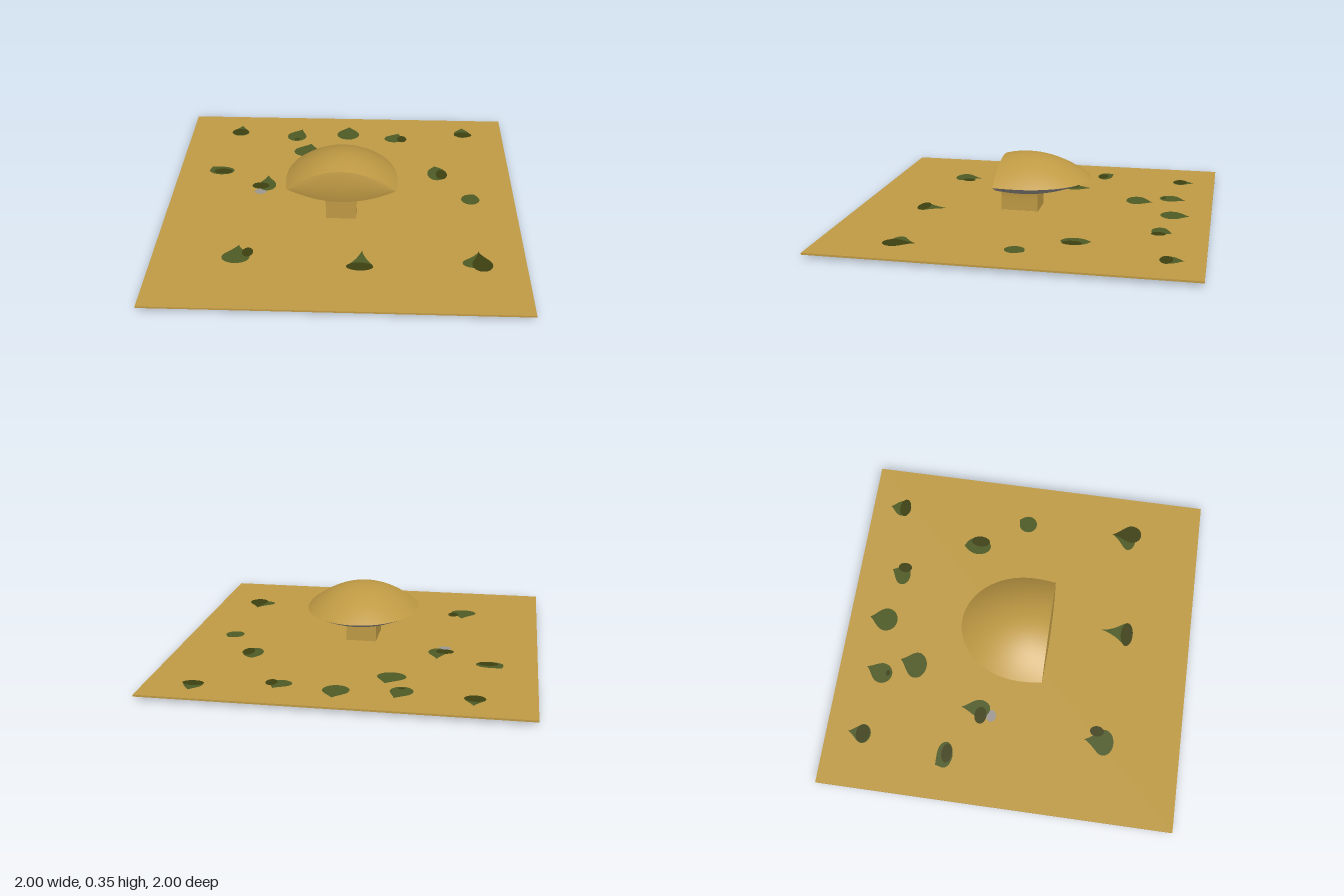
import * as THREE from 'three';
import { RoundedBoxGeometry } from 'three/addons/geometries/RoundedBoxGeometry.js';

function material(name, color) {
  const m = new THREE.MeshStandardMaterial({ color });
  m.name = name;
  return m;
}

// Bends a grid into a surface; place(u, v) gives [x, y, z] for u, v in 0..1
function surface(place, cols = 40, rows = 28) {
  const geo = new THREE.PlaneGeometry(1, 1, cols, rows);
  const p = geo.attributes.position;
  for (let i = 0; i < p.count; i++) p.setXYZ(i, ...place(p.getX(i) + 0.5, p.getY(i) + 0.5));
  geo.computeVertexNormals();
  return geo;
}

// Flat blob: an ellipse with an optional pull towards a tip
function blob(cx, cz, rx, rz, tx, tz) {
  const pts = [];
  const tipAngle = tx === undefined ? 0 : Math.atan2((tz - cz) / rz, (tx - cx) / rx);
  for (let k = 0; k < 40; k++) {
    const a = (k / 40) * Math.PI * 2 + tipAngle;
    let x = cx + rx * Math.cos(a), z = cz + rz * Math.sin(a);
    if (tx !== undefined) {
      const pull = Math.max(0, Math.cos(a - tipAngle)) ** 6;
      x += (tx - x) * pull;
      z += (tz - z) * pull;
    }
    pts.push(new THREE.Vector2(x, -z));
  }
  return new THREE.ShapeGeometry(new THREE.Shape(pts)).rotateX(-Math.PI / 2);
}

export function createModel() {
  const model = new THREE.Group();
  const sand = material('sand', 0xbf9a44);
  const grey = material('stone grey', 0x9c9691);
  const green = material('leaf green', 0x4e5a24);
  const darkGreen = material('dark green', 0x3d4010);

  const add = (name, geo, mat, y = 0, parent = model) => {
    const mesh = new THREE.Mesh(geo, mat);
    mesh.name = name;
    mesh.position.y = y;
    parent.add(mesh);
    return mesh;
  };

  // Ground plate
  add('ground', new THREE.BoxGeometry(2, 0.01, 2), sand, 0.023);

  // Stem, flaring a little where it meets the cap, with a low foot
  const stem = new THREE.BoxGeometry(0.17, 0.15, 0.21, 1, 8, 1);
  const p = stem.attributes.position;
  for (let i = 0; i < p.count; i++) {
    const t = p.getY(i) / 0.15 + 0.5;
    p.setX(i, p.getX(i) * (1 + 0.12 * t ** 6));
  }
  stem.computeVertexNormals();
  add('stem', stem, sand, 0.085).position.z = 0.075;
  add('stemFoot', new RoundedBoxGeometry(0.185, 0.03, 0.22, 3, 0.012), sand, 0.015).position.z = 0.075;

  // Cap: a lens with a rounded back, sliced flat at the front
  const rimY = 0.217, frontZ = 0.18, backZ = -0.32, midZ = 0.05;
  const rise = (z) => 1 - ((z - midZ) / 0.37) ** 2;
  const halfWidth = (z) => 0.315 * Math.sqrt(Math.max(0, z > midZ ? 1 - (1 - rise(z)) / 2 : rise(z)));
  const capPoint = (s, z, height) => [s * halfWidth(z), rimY + height * rise(z) * (1 - s * s), z];
  const zAt = (t) => backZ + (frontZ - backZ) * t * t; // finer slices towards the back
  const top = 0.134, bottom = -0.09;

  const cap = new THREE.Group();
  cap.name = 'cap';
  model.add(cap);
  add('capTop', surface((u, v) => capPoint(2 * u - 1, zAt(1 - v), top)), sand, 0, cap);
  add('capUnderside', surface((u, v) => capPoint(2 * u - 1, zAt(v), bottom)), grey, 0, cap);
  add('capFront', surface((u, v) => {
    const s = 2 * u - 1;
    const [x, y] = capPoint(s, frontZ, bottom + (top - bottom) * v);
    return [x, y, frontZ + 0.04 * v * (1 - v) * (1 - s * s)];
  }), sand, 0, cap);

  // Plant patches on the ground: light leaf with an optional dark lobe
  const patches = new THREE.Group();
  patches.name = 'patches';
  model.add(patches);
  const patch = (leaf, lobe) => {
    add('leafPatch', blob(...leaf), green, 0.0295, patches);
    if (lobe) add('darkLeafPatch', blob(...lobe), darkGreen, 0.031, patches);
  };
  patch([-0.69, -0.79, 0.055, 0.045, -0.685, -0.88], [-0.69, -0.79, 0.053, 0.04]);
  patch([-0.32, -0.75, 0.06, 0.06, -0.29, -0.845], [-0.315, -0.715, 0.018, 0.012]);
  patch([0.01, -0.785, 0.07, 0.065, 0.015, -0.885]);
  patch([0.305, -0.74, 0.06, 0.045, 0.335, -0.81], [0.355, -0.735, 0.03, 0.04]);
  patch([0.745, -0.82, 0.05, 0.05, 0.75, -0.895], [0.75, -0.805, 0.057, 0.033]);
  patch([-0.245, -0.56, 0.077, 0.06, -0.22, -0.66]);
  patch([-0.745, -0.31, 0.075, 0.045, -0.81, -0.355], [-0.735, -0.3, 0.055, 0.03]);
  patch([-0.45, -0.155, 0.05, 0.06, -0.455, -0.265], [-0.49, -0.145, 0.05, 0.035]);
  patch([0.56, -0.32, 0.055, 0.075, 0.55, -0.405], [0.59, -0.31, 0.033, 0.055]);
  patch([0.745, -0.04, 0.053, 0.053, 0.77, -0.095]);
  patch([-0.55, 0.57, 0.075, 0.055, -0.545, 0.455], [-0.49, 0.525, 0.03, 0.04]);
  patch([0.12, 0.625, 0.065, 0.04, 0.125, 0.48], [0.115, 0.632, 0.072, 0.035]);
  patch([0.72, 0.58, 0.06, 0.04, 0.755, 0.475], [0.765, 0.595, 0.055, 0.058, 0.75, 0.475]);

  // Small pebble beside one patch
  add('pebble', blob(-0.485, -0.085, 0.035, 0.028), grey, 0.0288, patches);

  return model;
}
